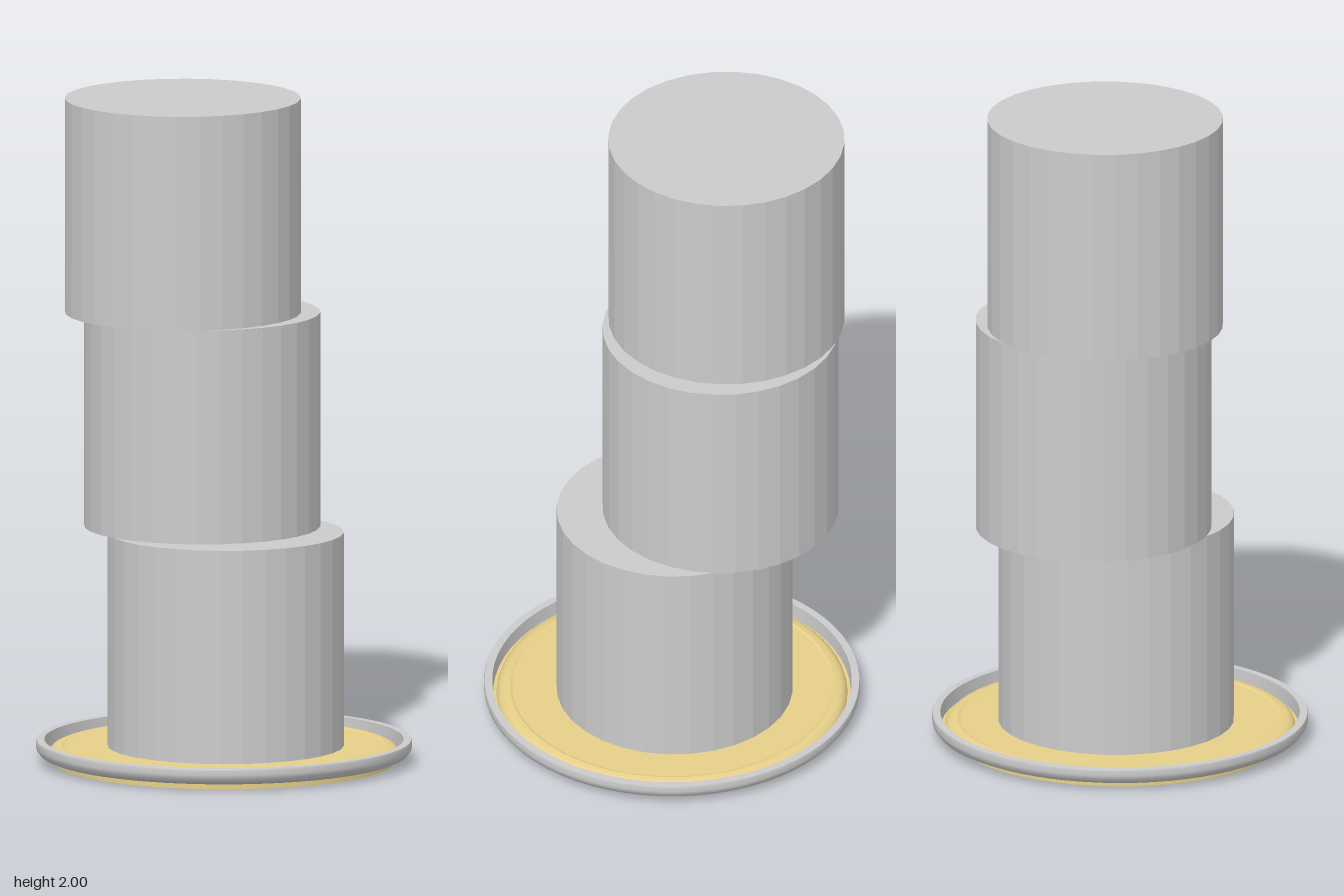
import * as THREE from 'three';

const grey = new THREE.MeshStandardMaterial({ color: 0xcccccc, side: THREE.DoubleSide });
const greyFlat = new THREE.MeshStandardMaterial({ color: 0xcccccc, flatShading: true });
const gold = new THREE.MeshStandardMaterial({ color: 0xe6cf88, side: THREE.DoubleSide });

// Revolves [radius, height] runs; each run is smooth, edges between runs stay sharp
function lathe(name, runs, material) {
  const group = new THREE.Group();
  group.name = name;
  for (const run of runs) {
    const points = run.map(([r, y]) => new THREE.Vector2(r, y));
    const mesh = new THREE.Mesh(new THREE.LatheGeometry(points, 64), material);
    mesh.name = name + 'Surface';
    group.add(mesh);
  }
  return group;
}

export function createModel() {
  const model = new THREE.Group();
  model.name = 'stackOnDish';

  // Dish rim: rounded underside, flat lip, upright inner wall
  model.add(lathe('dishRim', [
    [[0.51, 0.015], [0.535, 0.019], [0.553, 0.027], [0.563, 0.04], [0.565, 0.05], [0.565, 0.065], [0.563, 0.07]],
    [[0.563, 0.07], [0.54, 0.07]],
    [[0.54, 0.07], [0.537, 0.025]],
  ], grey));

  // Inlay: raised disc with a softly rounded edge sitting in the dish
  model.add(lathe('dishInlay', [
    [[0.537, 0.025], [0.527, 0.025]],
    [[0.527, 0.025], [0.524, 0.036], [0.515, 0.045], [0.503, 0.05], [0.487, 0.052]],
    [[0.487, 0.052], [0.48, 0.049]],
    [[0.48, 0.049], [0, 0.049]],
  ], gold));

  // Foot disc under the dish
  const foot = new THREE.Mesh(new THREE.CylinderGeometry(0.51, 0.51, 0.016, 64), gold);
  foot.name = 'footDisc';
  foot.position.y = 0.008;
  model.add(foot);

  // Three equal drums, stacked off-centre
  const height = 0.651;
  [['lowerDrum', 0, -0.012], ['middleDrum', -0.115, -0.09], ['upperDrum', -0.165, -0.06]].forEach(([name, x, z], i) => {
    const drum = new THREE.Mesh(new THREE.CylinderGeometry(0.355, 0.355, height, 32), greyFlat);
    drum.name = name;
    drum.position.set(x, 2 - height * (2.5 - i), z);
    model.add(drum);
  });

  return model;
}
